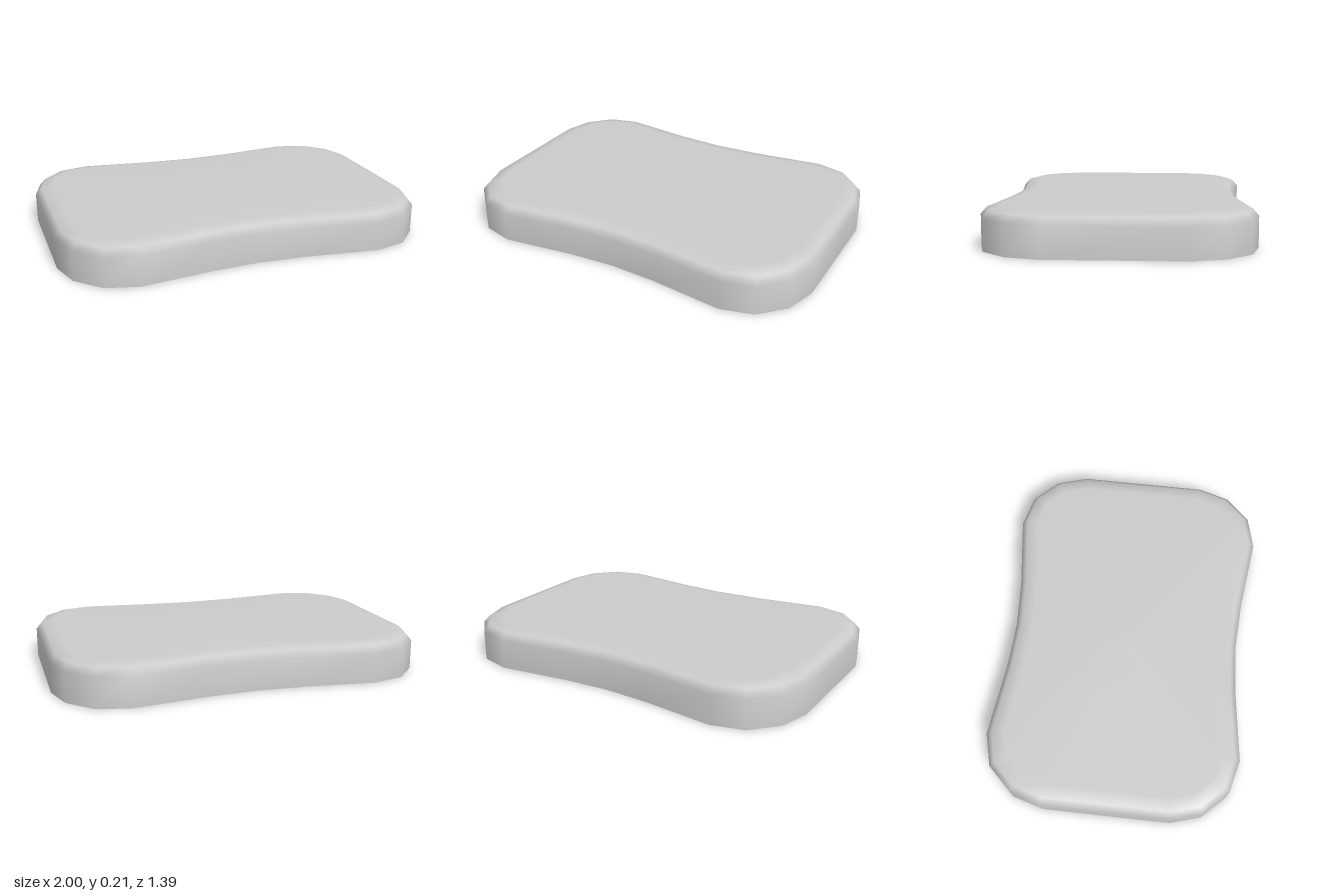
import * as THREE from 'three';

// Quarter outline (x, z) from the side to the waist, mirrored into a full loop
const quarter = [[1, 0.35], [0.95, 0.52], [0.825, 0.65], [0.65, 0.695], [0.26, 0.645]];
const half = [...quarter, [0, 0.63], ...quarter.map(([x, z]) => [-x, z]).reverse()];
const outline = [...half, ...half.map(([x, z]) => [-x, -z])].map(([x, z]) => new THREE.Vector2(x, z));
const n = outline.length;

// Wall and rounded rim: [inset, height]
const profile = [[0, 0], [0, 0.16], [0.032, 0.197], [0.1, 0.213]];

// Outline moved inwards by an even distance, with mitred corners
function insetLoop(distance) {
  const normal = (i) => {
    const d = outline[(i + 1) % n].clone().sub(outline[i % n]).normalize();
    return new THREE.Vector2(d.y, -d.x);
  };
  return outline.map((p, i) => {
    const a = normal(i + n - 1), b = normal(i);
    const miter = a.clone().add(b).divideScalar(1 + a.dot(b));
    return p.clone().addScaledVector(miter, -distance);
  });
}

function makeGeometry(positions, indices) {
  const g = new THREE.BufferGeometry();
  g.setAttribute('position', new THREE.Float32BufferAttribute(positions, 3));
  g.setIndex(indices);
  g.computeVertexNormals();
  return g;
}

// Smooth wall, rim and flat top
function bodyGeometry() {
  const positions = [], indices = [];
  for (const [inset, y] of profile) {
    for (const p of insetLoop(inset)) positions.push(p.x, y, p.y);
  }
  const top = (profile.length - 1) * n, centre = profile.length * n;
  positions.push(0, profile.at(-1)[1], 0);
  for (let i = 0; i < n; i++) {
    const j = (i + 1) % n;
    for (let k = 0; k < top; k += n) {
      indices.push(k + i, k + n + i, k + j, k + j, k + n + i, k + n + j);
    }
    indices.push(centre, top + j, top + i);
  }
  return makeGeometry(positions, indices);
}

// Flat underside with its own vertices for a sharp lower edge
function undersideGeometry() {
  const positions = [0, 0, 0], indices = [];
  outline.forEach((p, i) => {
    positions.push(p.x, 0, p.y);
    indices.push(0, i + 1, ((i + 1) % n) + 1);
  });
  return makeGeometry(positions, indices);
}

export function createModel() {
  const group = new THREE.Group();
  group.name = 'cushionPad';
  const material = new THREE.MeshStandardMaterial({ color: 0xcccccc });
  const add = (name, geometry) => {
    const mesh = new THREE.Mesh(geometry, material);
    mesh.name = name;
    group.add(mesh);
  };
  add('padBody', bodyGeometry());
  add('underside', undersideGeometry());
  return group;
}
